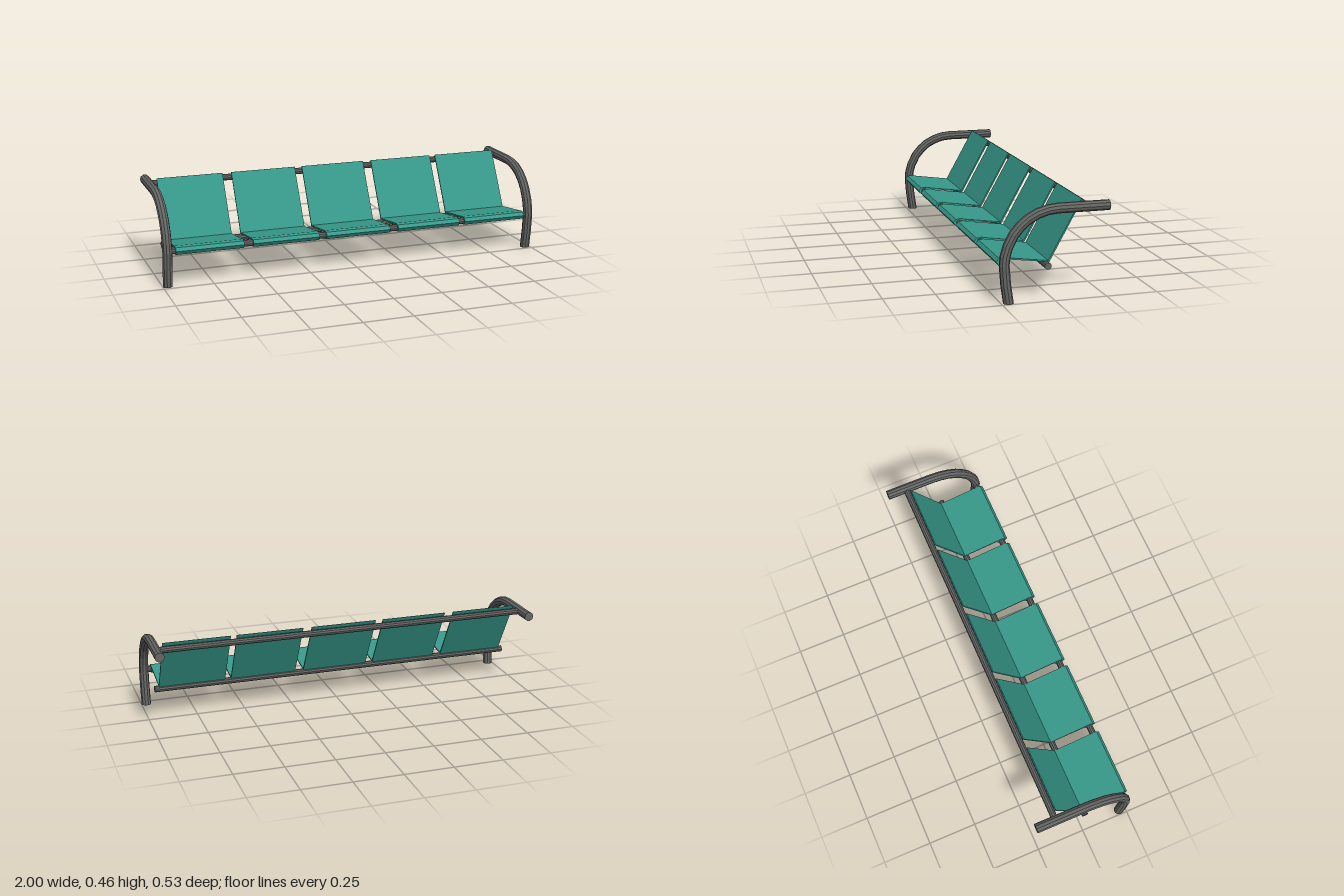
import * as THREE from 'three';

const SIDES = 10;

// Faceted tube swept along a [z, y] path in the plane x = 0, closed at both ends
function sweepTube(path, radius) {
  const pts = path.map(([z, y]) => new THREE.Vector3(0, y, z));
  const last = pts.length - 1;
  const rings = pts.map((p, i) => {
    const t = pts[Math.min(i + 1, last)].clone().sub(pts[Math.max(i - 1, 0)]).normalize();
    if (i === 0) t.set(0, 1, 0); // foot is cut level with the floor
    const n = new THREE.Vector3(0, -t.z, t.y);
    return Array.from({ length: SIDES }, (_, j) => {
      const a = ((j + 0.5) / SIDES) * Math.PI * 2;
      return p.clone().addScaledVector(n, radius * Math.cos(a)).add(new THREE.Vector3(radius * Math.sin(a), 0, 0));
    });
  });
  const tris = [];
  for (let j = 0; j < SIDES; j++) {
    const k = (j + 1) % SIDES;
    for (let i = 0; i < last; i++) {
      const a = rings[i][j], b = rings[i][k], c = rings[i + 1][j], d = rings[i + 1][k];
      tris.push(a, b, c, b, d, c);
    }
    tris.push(pts[0], rings[0][k], rings[0][j]);
    tris.push(pts[last], rings[last][j], rings[last][k]);
  }
  const geo = new THREE.BufferGeometry().setFromPoints(tris);
  geo.computeVertexNormals();
  return geo;
}

// Profile given as [z, y] points, extruded across the width in x
function extrudeAcross(profile, width) {
  const shape = new THREE.Shape(profile.map(([z, y]) => new THREE.Vector2(z, y)));
  const geo = new THREE.ExtrudeGeometry(shape, { depth: width, bevelEnabled: false });
  return geo.translate(0, 0, -width / 2).rotateY(-Math.PI / 2);
}

export function createModel() {
  const group = new THREE.Group();
  group.name = 'bench';
  const steel = new THREE.MeshStandardMaterial({ color: 0x646664 });
  steel.name = 'grey steel';
  const teal = new THREE.MeshStandardMaterial({ color: 0x37998a });
  teal.name = 'teal panel';

  const add = (name, geo, mat, x = 0, y = 0, z = 0) => {
    const mesh = new THREE.Mesh(geo, mat);
    mesh.name = name;
    mesh.position.set(x, y, z);
    group.add(mesh);
  };

  // Curved end frames: leg, bend and armrest in one tube
  const frame = sweepTube([
    [0.216, 0], [0.229, 0.09], [0.236, 0.18], [0.232, 0.22], [0.219, 0.265], [0.192, 0.317],
    [0.161, 0.354], [0.124, 0.385], [0.08, 0.408], [0.033, 0.422], [-0.015, 0.427], [-0.263, 0.427],
  ], 0.0245);
  add('leftFrame', frame, steel, 0.9755);
  add('rightFrame', frame, steel, -0.9755);

  // Cross rails
  const rail = new THREE.CylinderGeometry(0.0165, 0.0165, 1.92, SIDES).toNonIndexed().rotateZ(Math.PI / 2);
  rail.computeVertexNormals();
  add('backRail', rail, steel, 0, 0.427, -0.16);
  add('middleRail', rail, steel, 0, 0.154, 0.022);
  add('frontRail', rail, steel, 0, 0.185, 0.232);

  // Thin seat and back sheet, with a front lip wrapped over the rail
  const sheet = extrudeAcross([
    [0.01, 0.168], [0.2, 0.194], [0.214, 0.172], [0.228, 0.166], [0.25, 0.168], [0.264, 0.188],
    [0.25, 0.204], [0.225, 0.207], [0.2, 0.202], [0.015, 0.175],
    [-0.139, 0.45], [-0.142, 0.456], [-0.147, 0.455], [-0.146, 0.45],
  ], 0.343);
  [-0.766, -0.376, 0.006, 0.394, 0.768].forEach((x, i) => add(`seat${i + 1}`, sheet, teal, x));

  return group;
}
